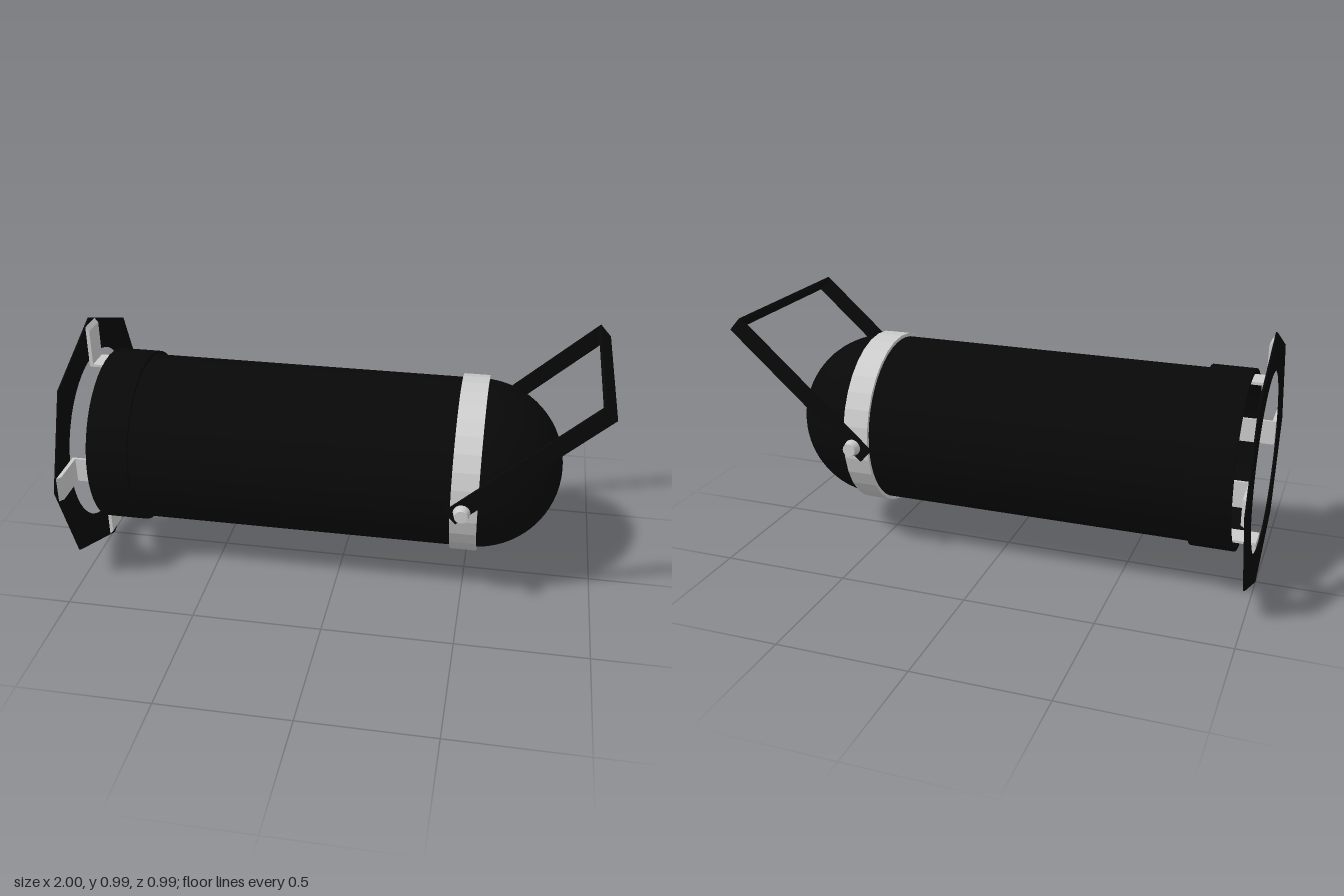
import * as THREE from 'three';
import { toCreasedNormals } from 'three/addons/utils/BufferGeometryUtils.js';

const CY = 0.497; // height of the can's axis
const black = new THREE.MeshStandardMaterial({ color: 0x080808 });
const blackOpen = new THREE.MeshStandardMaterial({ color: 0x080808, side: THREE.DoubleSide });
const grey = new THREE.MeshStandardMaterial({ color: 0xcccccc });
const greyFlat = new THREE.MeshStandardMaterial({ color: 0xcccccc, flatShading: true });

function add(parent, name, geometry, material, x = 0, y = 0, z = 0) {
  const mesh = new THREE.Mesh(geometry, material);
  mesh.name = name;
  mesh.position.set(x, y, z);
  parent.add(mesh);
  return mesh;
}

// Turned part along the x axis, from [radius, x] pairs
function turned(pairs, segments = 48) {
  const g = new THREE.LatheGeometry(pairs.map(([r, x]) => new THREE.Vector2(r, x)), segments);
  g.rotateZ(-Math.PI / 2);
  return toCreasedNormals(g, 0.6);
}

export function createModel() {
  const model = new THREE.Group();
  model.name = 'stageLamp';
  const can = new THREE.Group();
  can.name = 'can';
  can.position.y = CY;
  model.add(can);

  // Can body, domed end and front collar
  add(can, 'body', turned([[0.326, -0.8], [0.326, 0.525]]), blackOpen);
  const arc = [];
  for (let i = 0; i <= 16; i++) {
    const a = (i / 16) * Math.PI / 2;
    arc.push([0.326 * Math.cos(a), 0.525 + 0.326 * Math.sin(a)]);
  }
  add(can, 'dome', turned(arc), black);
  add(can, 'collar', turned([
    [0.324, -0.77], [0.324, -0.93], [0.34, -0.93], [0.34, -0.77], [0.324, -0.77],
  ]), black);
  add(can, 'lens', turned([[0, -0.795], [0.12, -0.792], [0.23, -0.784], [0.325, -0.77]]), grey);

  // Clamping band
  add(can, 'band', turned([
    [0.324, 0.45], [0.34, 0.45], [0.34, 0.55], [0.324, 0.55],
  ], 32), greyFlat);

  // Octagonal filter frame with a round opening
  const octagon = new THREE.Shape();
  for (let i = 0; i < 8; i++) {
    const a = (i * Math.PI) / 4;
    octagon[i ? 'lineTo' : 'moveTo'](0.495 * Math.cos(a), 0.495 * Math.sin(a));
  }
  octagon.closePath();
  const opening = new THREE.Path();
  opening.absarc(0, 0, 0.34, 0, Math.PI * 2, true);
  octagon.holes.push(opening);
  const frame = new THREE.ExtrudeGeometry(octagon, { depth: 0.006, bevelEnabled: false, curveSegments: 24 });
  frame.rotateY(Math.PI / 2);
  add(can, 'filterFrame', frame, black, -1);

  // Four L-shaped clips holding the frame to the can
  const clip = new THREE.Shape([
    [-0.8, 0.309], [-0.8, 0.319], [-0.98, 0.319], [-0.98, 0.458], [-0.994, 0.474], [-0.994, 0.309],
  ].map(([x, y]) => new THREE.Vector2(x, y)));
  const clipGeometry = new THREE.ExtrudeGeometry(clip, { depth: 0.096, bevelEnabled: false });
  clipGeometry.translate(0, 0, -0.048);
  for (let i = 0; i < 4; i++) {
    add(can, 'frameClip', clipGeometry, grey).rotation.x = (i * Math.PI) / 2;
  }

  // Tilted yoke, with its pivot on the band
  const yoke = new THREE.Group();
  yoke.name = 'yoke';
  yoke.position.set(0.495, 0, 0);
  yoke.rotation.z = THREE.MathUtils.degToRad(42);
  can.add(yoke);
  const start = -0.058, end = 0.648;
  for (const s of [1, -1]) {
    add(yoke, 'yokeArm', new THREE.BoxGeometry(end - start, 0.064, 0.012), black,
      (start + end) / 2, 0, s * 0.351);
  }
  add(yoke, 'yokeCrossbar', new THREE.BoxGeometry(0.012, 0.064, 0.714), black, end - 0.006);

  // Pivot bolts with tapered knobs
  for (const s of [1, -1]) {
    const bolt = new THREE.Group();
    bolt.name = 'pivotBolt';
    bolt.position.x = 0.495;
    bolt.rotation.x = (s * Math.PI) / 2;
    can.add(bolt);
    add(bolt, 'boltShaft', new THREE.CylinderGeometry(0.013, 0.013, 0.055, 16), grey, 0, 0.3525);
    add(bolt, 'boltKnob', new THREE.CylinderGeometry(0.025, 0.032, 0.032, 16), grey, 0, 0.39);
  }
  return model;
}
